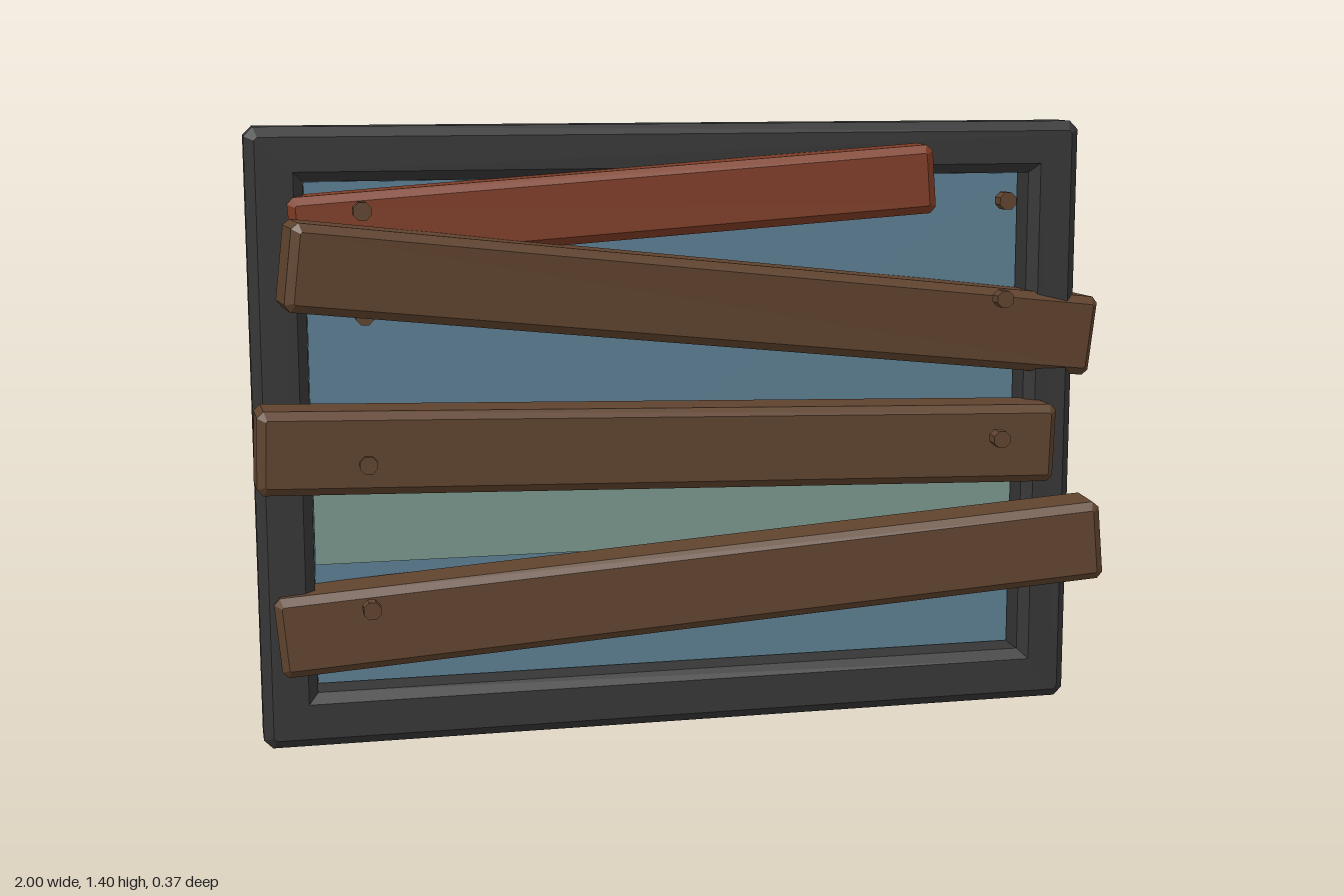
import * as THREE from 'three';

const paint = (name, color) => {
  const m = new THREE.MeshStandardMaterial({ color });
  m.name = name;
  return m;
};

// Rectangle with clipped corners
function clippedRect(PathType, x0, y0, x1, y1, c) {
  const pts = [[x0 + c, y0], [x1 - c, y0], [x1, y0 + c], [x1, y1 - c],
    [x1 - c, y1], [x0 + c, y1], [x0, y1 - c], [x0, y0 + c]];
  return new PathType(pts.map(([x, y]) => new THREE.Vector2(x, y)));
}

// Extrusion with one chamfer, centred on z = 0
function chamfered(shape, depth, b) {
  return new THREE.ExtrudeGeometry(shape, {
    depth: depth - 2 * b, bevelEnabled: true, bevelSegments: 1,
    bevelSize: b, bevelThickness: b, bevelOffset: -b,
  }).translate(0, 0, b - depth / 2);
}

export function createModel() {
  const model = new THREE.Group();
  model.name = 'boardedWindow';
  const frameGrey = paint('frame grey', 0x363636);
  const glassBlue = paint('glass blue', 0x5b7d90);
  const glassGreen = paint('glass green', 0x78968c);
  const woodBrown = paint('wood brown', 0x5f432e);
  const woodRed = paint('red wood', 0x7d3b24);

  const add = (name, geometry, material, x, y, z) => {
    const mesh = new THREE.Mesh(geometry, material);
    mesh.name = name;
    mesh.position.set(x, y, z);
    model.add(mesh);
    return mesh;
  };

  // Frame with chamfered outer and inner edges
  const outline = clippedRect(THREE.Shape, -1, 0.005, 0.935, 1.41, 0.02);
  const hole = new THREE.Path([[-0.875, 0.13], [-0.875, 1.29], [0.815, 1.29], [0.815, 0.13]]
    .map(([x, y]) => new THREE.Vector2(x, y)));
  outline.holes.push(hole);
  add('frame', chamfered(outline, 0.124, 0.022), frameGrey, 0, 0, -0.098);

  // Pane, with a tinted band on its front
  add('glass', new THREE.BoxGeometry(1.682, 1.152, 0.022), glassBlue, -0.03, 0.71, -0.13);
  add('glassBand', new THREE.BoxGeometry(1.68, 0.25, 0.004), glassGreen, -0.03, 0.54, -0.117);

  // Planks nailed across at odd angles: end centres, height, thickness
  const planks = [
    ['redPlank', [-0.905, 1.18, -0.065], [0.535, 1.287, 0.04], 0.155, 0.125, woodRed],
    ['upperPlank', [-0.93, 1.125, 0.115], [0.983, 0.895, -0.115], 0.19, 0.145, woodBrown],
    ['middlePlank', [-1.0, 0.715, 0.04], [0.86, 0.655, -0.025], 0.185, 0.145, woodBrown],
    ['lowerPlank', [-0.957, 0.27, -0.077], [0.945, 0.44, 0.085], 0.185, 0.145, woodBrown],
  ];
  for (const [name, from, to, height, thickness, material] of planks) {
    const a = new THREE.Vector3(...from), b = new THREE.Vector3(...to);
    const dir = b.clone().sub(a);
    const l = dir.length() / 2, h = height / 2;
    const shape = clippedRect(THREE.Shape, -l, -h, l, h, 0.014);
    const mid = a.add(b).multiplyScalar(0.5);
    const plank = add(name, chamfered(shape, thickness, 0.018), material, mid.x, mid.y, mid.z);
    plank.quaternion.setFromUnitVectors(new THREE.Vector3(1, 0, 0), dir.normalize());
  }

  // Nail heads, one pair per plank
  const nail = new THREE.CylinderGeometry(0.021, 0.021, 0.034, 8).toNonIndexed();
  nail.rotateX(Math.PI / 2).rotateZ(Math.PI / 8);
  nail.computeVertexNormals();
  for (const y of [1.235, 1.01, 0.683, 0.357]) {
    for (const x of [-0.76, 0.7]) add('nail', nail, woodBrown, x, y, 0.097);
  }
  return model;
}
